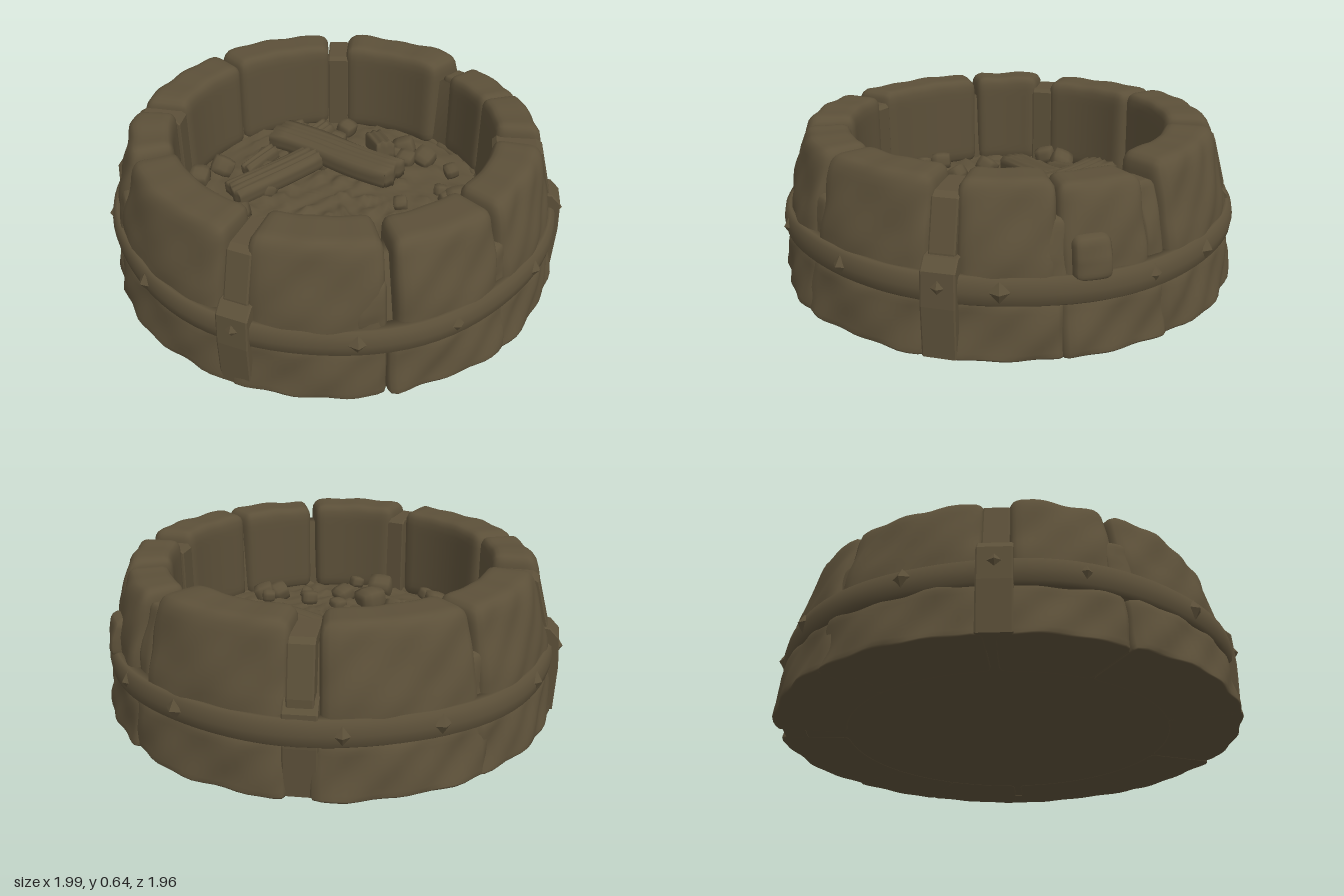
import * as THREE from 'three';
import { mergeVertices } from 'three/addons/utils/BufferGeometryUtils.js';

const earth = new THREE.MeshStandardMaterial({ color: 0x5c5039 });
earth.name = 'sootyBrown';
const D = Math.PI / 180;
const clamp = THREE.MathUtils.clamp;

function seeded(seed) {
  let s = seed;
  return () => ((s = (s * 16807) % 2147483647) / 2147483647);
}

// Outer radius of the wall at a height: wide foot, leaning in to the rim
function wallRadius(y) {
  if (y < 0.2) return 0.975 - y * 0.15;
  if (y < 0.36) return 0.945 - (y - 0.2) * 0.12;
  return 0.926 - (y - 0.36) * 0.27;
}

const wobble = (a, y, k) =>
  Math.sin(a * 13 + k * 2.1) * Math.cos(y * 17 + k) * 0.6 + Math.sin(a * 29 + y * 31 + k * 5) * 0.4;

// Move every vertex by a rule, then smooth the shading
function reshape(geo, rule) {
  geo.deleteAttribute('uv');
  geo.deleteAttribute('normal');
  const g = mergeVertices(geo, 1e-5);
  const p = g.attributes.position, v = new THREE.Vector3();
  for (let i = 0; i < p.count; i++) {
    v.fromBufferAttribute(p, i);
    rule(v);
    p.setXYZ(i, v.x, v.y, v.z);
  }
  g.computeVertexNormals();
  return g;
}

// Rounded block bent around the ring between angles a0 and a1 (degrees)
function ringBlock(a0, a1, y0, y1, rIn, push, round, k, rough) {
  const mid = (a0 + a1) / 2 * D, w = (a1 - a0) * D * 0.85, h = y1 - y0, d = 0.26;
  const half = [w / 2, h / 2, d / 2];
  const q = new THREE.Vector3();
  return reshape(new THREE.BoxGeometry(w, h, d, 16, 14, 10), v => {
    q.set(...['x', 'y', 'z'].map((c, i) => clamp(v[c], -half[i] + round, half[i] - round)));
    v.sub(q);
    if (v.length() > 0) v.setLength(Math.min(round, v.length() * 1.2));
    v.add(q);
    const y = (y0 + y1) / 2 + v.y;
    const a = mid - v.x / 0.85;
    const t = v.z / d + 0.5;
    const n = wobble(a, y, k) * rough;
    const r = THREE.MathUtils.lerp(rIn, wallRadius(Math.max(y, 0)) + push, t) + n * t;
    v.set(Math.cos(a) * r, Math.max(0, y + n * 0.5 * (y > 0.4 ? 1 : 0)), Math.sin(a) * r);
  });
}

export function createModel() {
  const model = new THREE.Group();
  model.name = 'stoneFirePit';
  const add = (name, geo, parent = model) => {
    const m = new THREE.Mesh(geo, earth);
    m.name = name;
    parent.add(m);
    return m;
  };
  const group = name => {
    const g = new THREE.Group();
    g.name = name;
    model.add(g);
    return g;
  };
  // Stand a part on the ring with its local z facing outward
  const onRing = (m, deg, r, y) => {
    m.position.set(Math.cos(deg * D) * r, y, Math.sin(deg * D) * r);
    m.rotation.y = Math.PI / 2 - deg * D;
    return m;
  };

  // Stones: start angle, end angle, top height, inner radius
  const stones = [
    [-31, -8, 0.63, 0.68], [-53.5, -31, 0.61, 0.69], [-99, -59, 0.635, 0.66],
    [-144.5, -106, 0.635, 0.67], [-182, -145, 0.625, 0.66], [147, 172, 0.635, 0.68],
    [103, 146, 0.63, 0.67], [64, 97, 0.635, 0.66], [33, 62, 0.625, 0.67], [-2, 32, 0.63, 0.67],
  ];
  const upper = group('upperStones'), lower = group('lowerStones');
  stones.forEach(([a0, a1, top, rIn], i) => {
    add('upperStone', ringBlock(a0, a1, 0.19, top, rIn, 0.006, 0.05, i, 0.009), upper);
    const shift = [1, -2, 2, 0, 1][i % 5];
    add('lowerStone', ringBlock(a0 - 2 + shift, a1 + 2 + shift, -0.03, 0.225, 0.68, 0.004, 0.035, i + 20, 0.013), lower);
  });

  // Small wedge stones filling the joints: angle, width, bottom, top, push
  const wedges = group('wedgeStones');
  [[68, 8, 0.28, 0.49, 0], [-56, 6, 0.26, 0.57, -0.02], [33, 7, 0.26, 0.46, -0.01], [147, 7, 0.27, 0.46, 0.01],
   [-38, 9, 0.28, 0.44, 0.035], [-145, 6, 0.25, 0.46, -0.015], [-30, 6, 0.26, 0.5, 0]]
    .forEach(([a, w, y0, y1, push], i) =>
      add('wedgeStone', ringBlock(a - w / 2, a + w / 2, y0, y1, 0.74, push, 0.03, i + 40, 0.008), wedges));

  // Core: closed base and a thin wall behind the joints
  add('core', new THREE.LatheGeometry([[0, 0.002], [0.93, 0.002], [0.91, 0.2], [0.8, 0.54], [0.72, 0.54], [0.7, 0.15]]
    .map(p => new THREE.Vector2(...p)), 64));

  // Ash bed with a lumpy surface
  const ash = reshape(new THREE.RingGeometry(0.001, 0.73, 90, 26), v => {
    const x = v.x, z = -v.y, r = Math.hypot(x, z);
    const lumps = Math.sin(x * 31 + Math.sin(z * 17) * 2) * Math.sin(z * 33 + Math.cos(x * 19) * 2);
    v.set(x, 0.235 - r * r * 0.06 + Math.max(0, lumps) * 0.025 + Math.sin(x * 57 + z * 43) * 0.004, z);
  });
  add('ashBed', ash);

  // Coals and cinders
  const coals = group('coals'), rnd = seeded(77);
  const coal = (x, z, s) => {
    const m = add('coal', reshape(new THREE.BoxGeometry(s, s * 0.8, s, 3, 3, 3), v => {
      const n = v.length();
      v.multiplyScalar(0.55 + 0.27 * s / n);
    }), coals);
    m.position.set(x, 0.25, z);
    m.rotation.set(rnd() - 0.5, rnd() * 3, rnd() - 0.5);
  };
  [[-0.56, -0.08, 0.1], [0.24, -0.45, 0.1], [-0.06, 0.4, 0.12], [-0.06, 0.58, 0.11], [-0.36, 0.49, 0.09],
   [0.55, -0.08, 0.1], [0.47, 0.33, 0.09], [0.35, -0.38, 0.09]].forEach(c => coal(...c));
  for (let i = 0; i < 34; i++) {
    const a = rnd() * 6.28, r = 0.25 + rnd() * 0.39;
    coal(Math.cos(a) * r, Math.sin(a) * r, 0.05 + rnd() * 0.04);
  }

  // Split logs with grain: x, y, z, length, height, width, yaw, pitch
  const logs = group('logs');
  [[-0.05, 0.315, -0.22, 0.65, 0.09, 0.17, -21, 1], [-0.28, 0.285, -0.02, 0.44, 0.08, 0.13, 48, 6],
   [-0.19, 0.27, -0.42, 0.15, 0.09, 0.1, 55, 12], [0.13, 0.275, -0.4, 0.16, 0.09, 0.09, -62, 10],
   [-0.39, 0.265, -0.14, 0.19, 0.06, 0.06, 60, 8]].forEach(([x, y, z, l, h, w, yaw, pitch], i) => {
    const geo = reshape(new THREE.BoxGeometry(l, h, w, 10, 3, 14), v => {
      const e = 1 - Math.pow(Math.abs(v.z) / (w / 2), 4) * 0.35;
      v.y = v.y * e + Math.sin(v.z * 190 + Math.sin(v.x * 9 + i)) * 0.005;
      v.z += Math.sin(v.x * 11 + i) * 0.006;
      v.x *= 1 + Math.sin(v.z * 70 + i) * 0.025;
    });
    const m = add('log', geo, logs);
    m.position.set(x, y, z);
    m.rotation.set(0, yaw * D, pitch * D);
  });

  // Iron hoop, slightly uneven
  const hoop = new THREE.LatheGeometry([[0.9, 0.2], [0.945, 0.2], [0.962, 0.212], [0.968, 0.255], [0.96, 0.298], [0.943, 0.31], [0.9, 0.31], [0.9, 0.2]]
    .map(p => new THREE.Vector2(...p)), 96);
  add('hoop', reshape(hoop, v => {
    const a = Math.atan2(v.z, v.x);
    const s = 1 + Math.sin(a * 7 + 1) * 0.005;
    v.x *= s;
    v.z *= s;
    v.y += Math.sin(a * 3 + 0.5) * 0.005;
  }));

  // Straps folded over the rim, each with a thicker outer plate
  const strapShape = pts => new THREE.Shape(pts.map(p => new THREE.Vector2(...p)));
  const straps = group('straps');
  [[-5.5, 0.99], [175, 0.99], [98.5, 0.98], [-102, 0.955]].forEach(([deg, r]) => {
    const build = (name, pts, w) => {
      const geo = new THREE.ExtrudeGeometry(strapShape(pts), {
        depth: w - 0.012, bevelEnabled: true, bevelSize: 0.004, bevelThickness: 0.006, bevelSegments: 1,
      }).translate(0, 0, -(w - 0.012) / 2);
      add(name, geo, straps).rotation.y = -deg * D;
    };
    build('rimStrap', [[0.675, 0.18], [0.935, 0.18], [0.925, 0.38], [0.875, 0.565], [0.85, 0.58], [0.69, 0.58], [0.675, 0.565]], 0.1);
    build('outerPlate', [[0.86, 0.004], [r - 0.01, 0.004], [r - 0.004, 0.2], [r - 0.012, 0.33], [r - 0.05, 0.37], [0.86, 0.37]], 0.13);
  });

  // Diamond studs around the hoop
  const studs = group('studs');
  [126, 98.5, 71, 48, 20, -5.5, -18, -53, -72, -111, -133, -165, 175, 156].forEach(deg => {
    const strap = [98.5, -5.5, 175].includes(deg);
    const geo = new THREE.ConeGeometry(0.042, 0.026, 4).toNonIndexed().rotateX(Math.PI / 2);
    geo.computeVertexNormals();
    onRing(add('stud', geo, studs), deg, strap ? (deg === 98.5 ? 0.978 : 0.988) : 0.972, strap ? 0.275 : 0.26);
  });

  return model;
}
